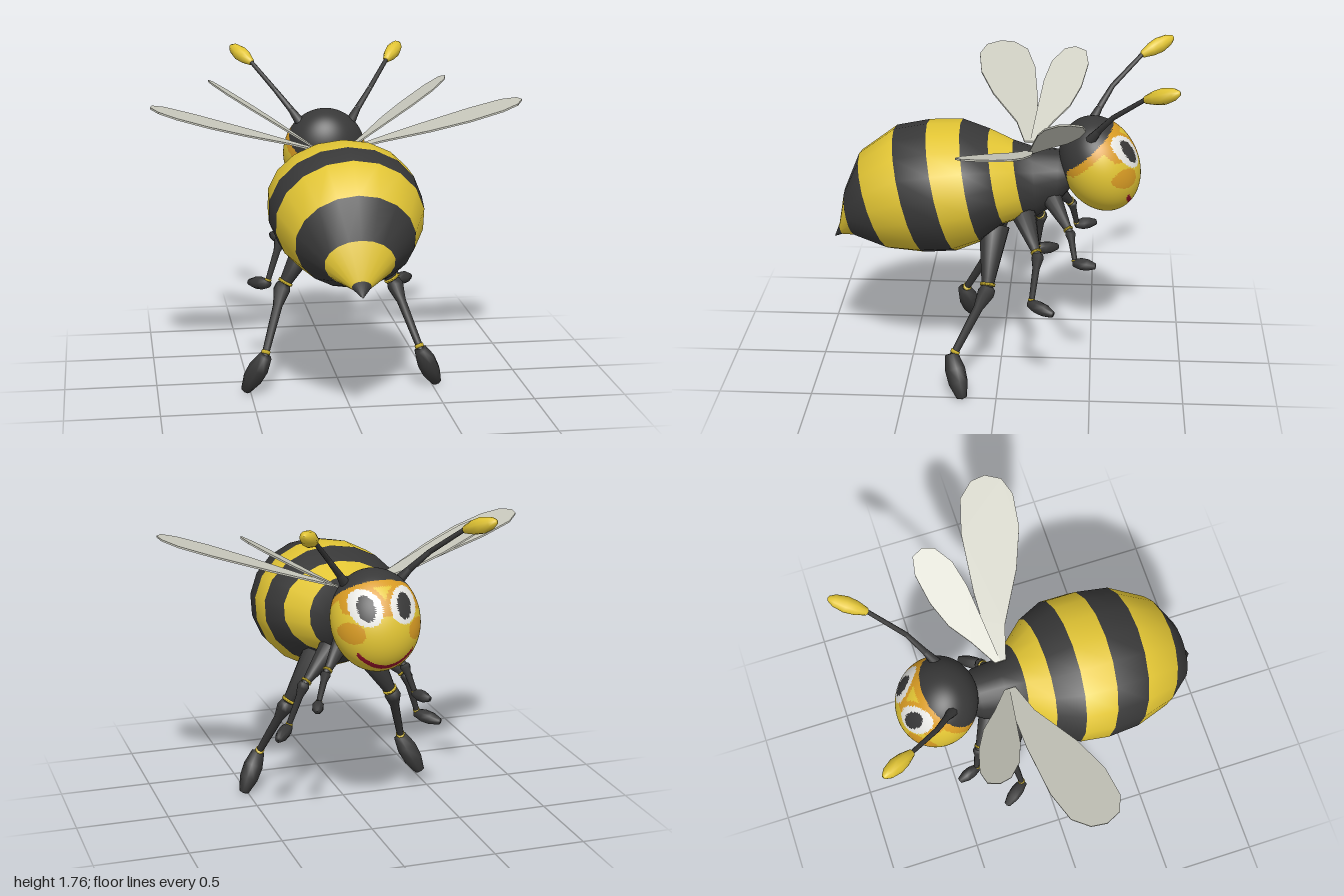
import * as THREE from 'three';

const mat = (name, color, side = THREE.FrontSide) => {
  const m = new THREE.MeshStandardMaterial({ color, side });
  m.name = name;
  return m;
};

export function createModel() {
  const black = mat('charcoal', 0x383838);
  const yellow = mat('yellow', 0xe2c534);
  const orange = mat('orange', 0xd99c24);
  const white = mat('eye white', 0xeeeeea);
  const red = mat('mouth red', 0x96142a);
  const wingGrey = mat('wing grey', 0xcbcbbf, THREE.DoubleSide);
  const V = (x, y, z) => new THREE.Vector3(x, y, z);
  const root = new THREE.Group();
  root.name = 'bee';

  const add = (parent, name, geometry, material) => {
    const mesh = new THREE.Mesh(geometry, material);
    mesh.name = name;
    parent.add(mesh);
    return mesh;
  };

  // Lathe whose profile [radius, fraction of length] runs from point a to point b
  const spindle = (parent, name, a, b, profile, material, sides = 10) => {
    const d = b.clone().sub(a);
    const len = d.length();
    const pts = profile.map(([r, t]) => new THREE.Vector2(r, t * len));
    const mesh = add(parent, name, new THREE.LatheGeometry(pts, sides), material);
    mesh.position.copy(a);
    mesh.quaternion.setFromUnitVectors(V(0, 1, 0), d.normalize());
    return mesh;
  };

  // Striped abdomen and thorax: tilted rings [topZ, topY, bottomZ, bottomY, halfWidth, colour]
  const rings = [
    [0.92, 0.72, 0.92, 0.72, 0.001, 0],
    [0.89, 0.80, 0.87, 0.74, 0.05, 1],
    [0.855, 1.0, 0.79, 0.75, 0.18, 0],
    [0.77, 1.21, 0.59, 0.685, 0.31, 1],
    [0.58, 1.35, 0.40, 0.675, 0.39, 0],
    [0.40, 1.385, 0.23, 0.69, 0.41, 1],
    [0.22, 1.39, 0.09, 0.75, 0.40, 0],
    [0.07, 1.34, -0.03, 0.85, 0.33, 1],
    [-0.06, 1.29, -0.14, 0.88, 0.22, 0],
    [-0.17, 1.26, -0.20, 0.88, 0.16, 0],
    [-0.31, 1.25, -0.30, 0.95, 0.14, 0],
    [-0.38, 1.2, -0.38, 1.05, 0.1, 0],
  ];
  const N = 18, pos = [], idx = [];
  const body = new THREE.BufferGeometry();
  rings.forEach(([tz, ty, bz, by, w, colour], i) => {
    for (let j = 0; j < N; j++) {
      const t = (j / N) * Math.PI * 2, c = Math.cos(t) / 2;
      pos.push(Math.sin(t) * w, (ty + by) / 2 + c * (ty - by), (tz + bz) / 2 + c * (tz - bz));
      if (i === rings.length - 1) continue;
      const a = i * N + j, d = i * N + ((j + 1) % N);
      idx.push(a, d, d + N, a, d + N, a + N);
    }
    if (i < rings.length - 1) body.addGroup(i * N * 6, N * 6, colour);
  });
  body.setAttribute('position', new THREE.Float32BufferAttribute(pos, 3));
  body.setIndex(idx);
  body.computeVertexNormals();
  add(root, 'striped body', body, [black, yellow]);

  // Head: tilted ellipsoid, faces sorted into colours by where they lie
  const faceColour = (px, y, z) => {
    const x = Math.abs(px);
    const front = z < -0.5;
    const oval = (cx, cy, rx, ry) => ((x - cx) / rx) ** 2 + ((y - cy) / ry) ** 2 < 1;
    if (front && oval(0.1, 1.285, 0.042, 0.06)) return 0;
    if (front && oval(0.1, 1.285, 0.08, 0.085)) return 3;
    if (front && x < 0.15 && Math.abs(y - 0.975 - 3.5 * x * x) < 0.013) return 4;
    const edge = y - 1.18 + 0.91 * (z + 0.35);
    if (edge > 0 || z > -0.355) return 0;
    if (edge > -0.055 && y > 1.16) return 2;
    if (front && oval(0.1, 1.28, 0.105, 0.11) && y > 1.25) return 2;
    if (front && oval(0.17, 1.16, 0.055, 0.055)) return 2;
    return 1;
  };
  const ball = new THREE.SphereGeometry(1, 112, 84);
  ball.scale(0.235, 0.268, 0.208);
  ball.rotateX(0.44);
  ball.translate(0, 1.18, -0.53);
  const buckets = [[], [], [], [], []];
  const p = ball.attributes.position, bi = ball.index.array;
  for (let i = 0; i < bi.length; i += 3) {
    const tri = [bi[i], bi[i + 1], bi[i + 2]];
    const mid = (get) => tri.reduce((s, v) => s + get(v), 0) / 3;
    const k = faceColour(mid((v) => p.getX(v)), mid((v) => p.getY(v)), mid((v) => p.getZ(v)));
    buckets[k].push(...tri);
  }
  ball.clearGroups();
  let start = 0;
  buckets.forEach((b, k) => {
    ball.addGroup(start, b.length, k);
    start += b.length;
  });
  ball.setIndex(buckets.flat());
  add(root, 'head', ball, [black, yellow, orange, white, red]);

  // Wing outlines as [x, z] seen from above; each wing rises outwards
  const wings = [
    { name: 'large wing', y: 1.265, slope: 0.315, outline: [[0.08, -0.17], [0.3, -0.18], [0.45, -0.178],
      [0.75, -0.15], [0.92, -0.1], [0.99, -0.02], [1.0, 0.06], [0.96, 0.14], [0.87, 0.175], [0.7, 0.155],
      [0.5, 0.075], [0.25, -0.07], [0.08, -0.12]] },
    { name: 'small wing', y: 1.27, slope: 0.62, outline: [[0.08, -0.18], [0.2, -0.27], [0.3, -0.36],
      [0.42, -0.42], [0.56, -0.455], [0.64, -0.44], [0.665, -0.38], [0.65, -0.32], [0.57, -0.25],
      [0.45, -0.21], [0.3, -0.185], [0.08, -0.15]] },
  ];

  // Leg joints for the left side: hip, knee, ankle, toe, plus radii
  const legs = [
    { name: 'hind leg', pts: [[0.13, 0.86, 0.03], [0.31, 0.55, 0.06], [0.43, 0.21, 0.24], [0.53, 0.01, 0.18]],
      hip: 0.085, knee: 0.042, shin: 0.02, foot: 0.055 },
    { name: 'middle leg', pts: [[0.1, 0.93, -0.12], [0.29, 0.75, -0.21], [0.37, 0.51, -0.18], [0.46, 0.49, -0.3]],
      hip: 0.07, knee: 0.03, shin: 0.015, foot: 0.036 },
    { name: 'front leg', pts: [[0.07, 1.03, -0.26], [0.22, 0.86, -0.38], [0.27, 0.71, -0.41], [0.31, 0.71, -0.52]],
      hip: 0.06, knee: 0.026, shin: 0.014, foot: 0.032 },
  ];

  for (const s of [1, -1]) {
    const side = s > 0 ? 'left ' : 'right ';

    for (const { name, y, slope, outline } of wings) {
      const shape = new THREE.Shape(outline.map(([x, z]) => new THREE.Vector2(x * s, -z)));
      const g = new THREE.ExtrudeGeometry(shape, { depth: 0.01, bevelEnabled: false });
      g.rotateX(-Math.PI / 2);
      const q = g.attributes.position;
      for (let i = 0; i < q.count; i++) q.setY(i, q.getY(i) + y + slope * (Math.abs(q.getX(i)) - 0.1));
      g.computeVertexNormals();
      add(root, side + name, g, wingGrey);
    }

    for (const { name, pts, hip, knee, shin, foot } of legs) {
      const leg = new THREE.Group();
      leg.name = side + name;
      root.add(leg);
      const [H, K, A, T] = pts.map(([x, y, z]) => V(x * s, y, z));
      spindle(leg, 'thigh', H, K, [[0, 0], [hip, 0.02], [knee * 0.95, 0.8], [knee * 0.7, 1]], black);
      const cuff = H.clone().lerp(K, 0.88);
      spindle(leg, 'knee band', cuff, K, [[0, 0], [knee, 0], [knee, 0.35], [0, 0.35]], yellow);
      spindle(leg, 'shin', K, A,
        [[0, -0.1], [knee * 0.9, -0.06], [knee * 1.1, 0.03], [shin * 1.3, 0.25], [shin, 0.9], [shin, 1]], black);
      const heel = A.clone().lerp(T, -0.1);
      spindle(leg, 'foot', heel, T,
        [[0, 0], [foot * 0.65, 0.02], [foot, 0.35], [foot * 0.95, 0.65], [foot * 0.5, 0.97], [0, 1]], black, 8);
      spindle(leg, 'ankle band', A.clone().lerp(K, 0.06), K,
        [[0, 0], [shin * 1.25, 0], [shin * 1.25, 0.05], [0, 0.05]], yellow);
    }

    // Antenna: tapering stalk in three pieces with a yellow bulb
    const antenna = new THREE.Group();
    antenna.name = side + 'antenna';
    root.add(antenna);
    const stalk = [[0.12, 1.33, -0.46], [0.19, 1.43, -0.52], [0.27, 1.53, -0.59], [0.39, 1.67, -0.745]]
      .map(([x, y, z]) => V(x * s, y, z));
    const radii = [0.034, 0.018, 0.014, 0.012];
    for (let i = 0; i < 3; i++)
      spindle(antenna, 'stalk', stalk[i], stalk[i + 1], [[radii[i], 0], [radii[i + 1], 1], [0, 1.02]], black, 8);
    spindle(antenna, 'bulb', stalk[3], V(0.495 * s, 1.745, -0.92),
      [[0, -0.02], [0.02, 0.03], [0.037, 0.3], [0.043, 0.55], [0.032, 0.83], [0.014, 0.97], [0, 1]], yellow);
  }
  return root;
}
